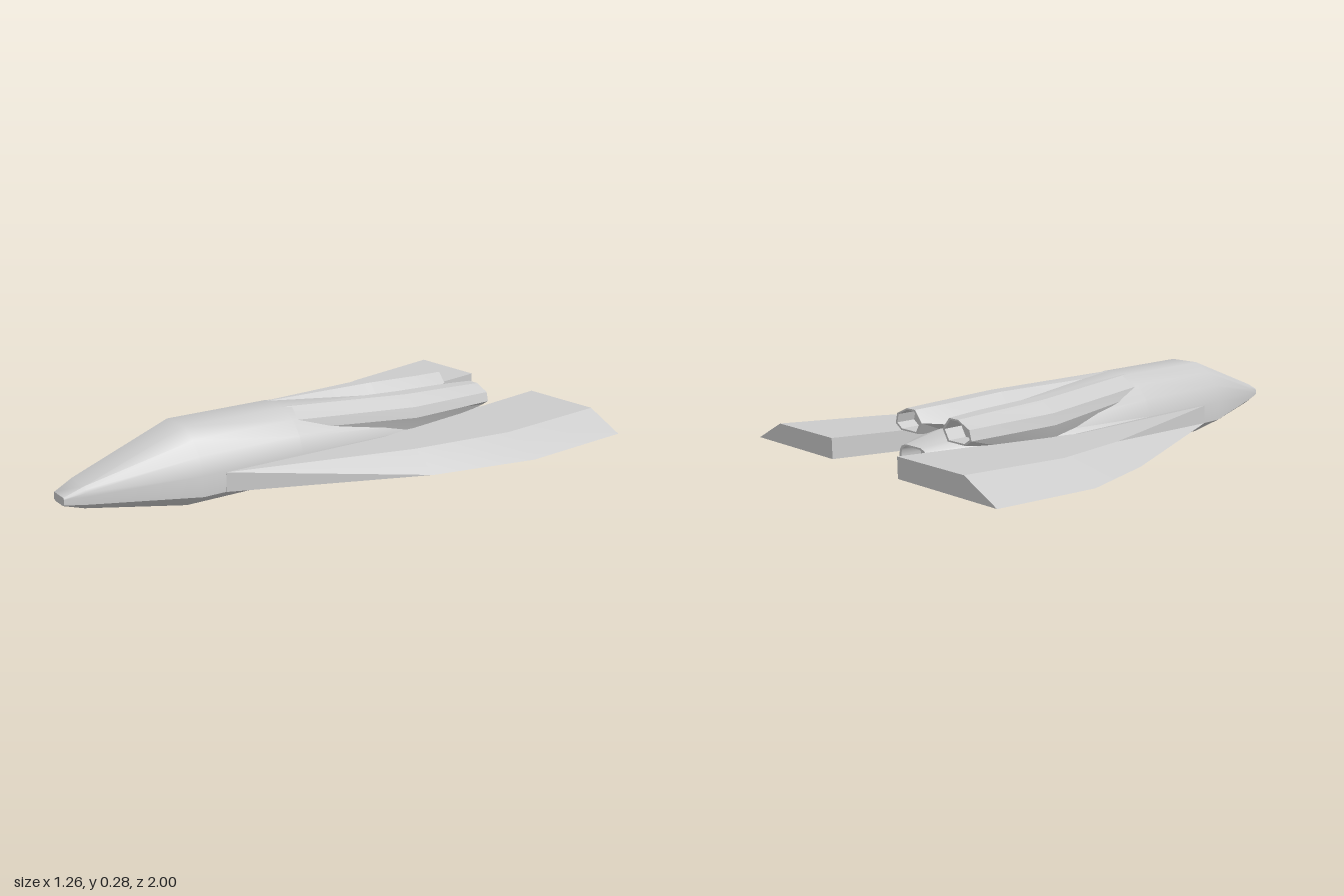
import * as THREE from 'three';
import { toCreasedNormals } from 'three/addons/utils/BufferGeometryUtils.js';

const material = new THREE.MeshStandardMaterial({ color: 0xcccccc });

// Skin a list of rings, ordered front to back, each { z, pts } counter-clockwise seen from the front.
function loft(name, rings, crease) {
  const pos = [];
  const put = (r, i) => pos.push(...r.pts[i % r.pts.length], r.z);
  const n = rings[0].pts.length;
  for (let k = 0; k < rings.length - 1; k++) {
    const a = rings[k], b = rings[k + 1];
    for (let i = 0; i < n; i++) {
      put(a, i); put(b, i); put(a, i + 1);
      put(a, i + 1); put(b, i); put(b, i + 1);
    }
  }
  const last = rings[rings.length - 1];
  for (let i = 1; i < n - 1; i++) {
    put(rings[0], 0); put(rings[0], i); put(rings[0], i + 1);
    put(last, 0); put(last, i + 1); put(last, i);
  }
  const geo = new THREE.BufferGeometry();
  geo.setAttribute('position', new THREE.Float32BufferAttribute(pos, 3));
  const mesh = new THREE.Mesh(toCreasedNormals(geo, crease), material);
  mesh.name = name;
  return mesh;
}

// Full ring from its +x half, listed bottom to top.
const symmetric = (z, half) => ({
  z, pts: [...half, ...half.map(([x, y]) => [-x, y]).reverse()],
});

// Same rings on the -x side, with the winding kept outward.
const mirror = (rings) => rings.map(({ z, pts }) => ({
  z, pts: pts.map(([x, y]) => [-x, y]).reverse(),
}));

// Hollow out the rear end: a thin rim, then a recess.
function nozzle(rings, depth) {
  const { z, pts } = rings[rings.length - 1];
  const cx = pts.reduce((s, p) => s + p[0], 0) / pts.length;
  const cy = pts.reduce((s, p) => s + p[1], 0) / pts.length;
  const inner = pts.map(([x, y]) => [cx + (x - cx) * 0.86, cy + (y - cy) * 0.86]);
  return [...rings, { z, pts: inner }, { z: z + depth, pts: inner }];
}

export function createModel() {
  const group = new THREE.Group();
  group.name = 'spacecraft';

  // Fuselage: blunt nose, cone, barrel, then a back that slopes down to the tail nozzle
  const barrel = [[0.06, 0], [0.178, 0.065], [0.178, 0.14], [0.157, 0.2], [0.117, 0.25], [0.06, 0.284]];
  const fuselage = [
    symmetric(1, [[0.03, 0.085], [0.04, 0.09], [0.04, 0.1], [0.04, 0.108], [0.039, 0.112], [0.036, 0.115]]),
    symmetric(0.93, [[0.04, 0.065], [0.065, 0.085], [0.065, 0.112], [0.062, 0.125], [0.058, 0.135], [0.05, 0.145]]),
    symmetric(0.56, barrel),
    symmetric(0.15, barrel),
    symmetric(-0.58, [[0.06, 0], [0.178, 0.065], [0.178, 0.135], [0.15, 0.165], [0.11, 0.19], [0.05, 0.2]]),
    symmetric(-0.81, [[0.04, 0.055], [0.075, 0.08], [0.075, 0.12], [0.07, 0.14], [0.06, 0.152], [0.04, 0.16]]),
  ];
  group.add(loft('fuselage', nozzle(fuselage, 0.08), 0.75));

  // Wings: root bottom, leading edge, upper ridge, root top
  const wingRing = (z, bottom, edge, ridge, top) => ({
    z, pts: [[0.176, bottom], [edge, bottom], [ridge, top], [0.176, top]],
  });
  const wing = [
    wingRing(0.47, 0.065, 0.18, 0.178, 0.135),
    wingRing(-0.22, 0.065, 0.46, 0.355, 0.135),
    wingRing(-0.58, 0.09, 0.6, 0.465, 0.161),
    wingRing(-1, 0.12, 0.63, 0.49, 0.19),
  ];

  // Engine pods: faceted, growing out of the shoulders of the fuselage
  const pod = nozzle([
    { z: 0.15, pts: [[0.115, 0.2], [0.12, 0.215], [0.115, 0.248], [0.052, 0.284], [0.045, 0.284], [0.04, 0.27], [0.04, 0.2]] },
    { z: -0.36, pts: [[0.18, 0.14], [0.2, 0.19], [0.19, 0.23], [0.135, 0.268], [0.08, 0.268], [0.025, 0.2], [0.06, 0.14]] },
    { z: -0.6, pts: [[0.18, 0.155], [0.2, 0.193], [0.19, 0.23], [0.135, 0.26], [0.08, 0.26], [0.015, 0.195], [0.06, 0.16]] },
    { z: -0.73, pts: [[0.17, 0.175], [0.2, 0.195], [0.19, 0.23], [0.135, 0.255], [0.09, 0.255], [0.055, 0.215], [0.08, 0.175]] },
  ], 0.07);

  group.add(
    loft('leftWing', wing, 0.35), loft('rightWing', mirror(wing), 0.35),
    loft('leftEngine', pod, 0.3), loft('rightEngine', mirror(pod), 0.3),
  );
  return group;
}
